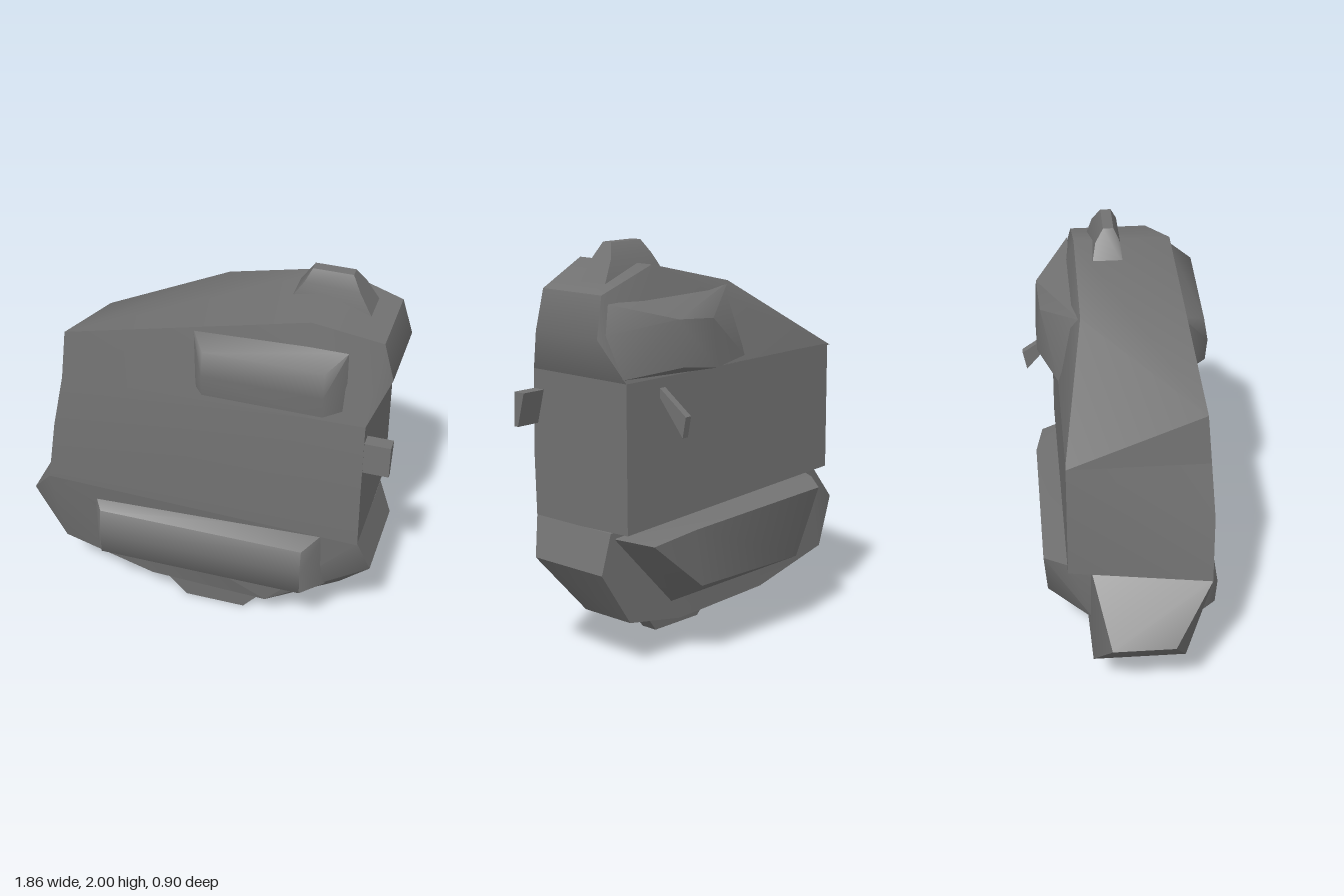
import * as THREE from 'three';
import { ConvexGeometry } from 'three/addons/geometries/ConvexGeometry.js';
import { toCreasedNormals } from 'three/addons/utils/BufferGeometryUtils.js';

const material = new THREE.MeshStandardMaterial({ color: 0x727272 });

// Solid from its corner points, smooth across edges flatter than the crease angle
function solid(name, corners, crease = 0.45) {
  const geometry = new ConvexGeometry(corners.map((c) => new THREE.Vector3(...c)));
  const mesh = new THREE.Mesh(toCreasedNormals(geometry, crease), material);
  mesh.name = name;
  return mesh;
}

// Corner pairs: each [x, y, zFront, zBack] gives a front and a back point
const pairs = (list) => list.flatMap(([x, y, f, b]) => [[x, y, f], [x, y, b]]);

// Padded bar on the front: [y, z] profile swept from left to right with tapered ends
function frontPad(name, x0, x1, profile, taper) {
  const last = profile.length - 1;
  return solid(name, profile.flatMap(([y, z], i) => {
    const inset = i === 0 || i === last ? 0 : taper;
    return [[x0 + inset, y, z], [x1 - inset, y, z]];
  }), 1.2);
}

export function createModel() {
  const group = new THREE.Group();

  // Body in three stacked blocks
  group.add(solid('upperBody', [
    ...pairs([
      [0.52, 1.9, 0.29, -0.18], [0.84, 1.79, 0.2, -0.18], [0.89, 1.6, 0.2, -0.2],
      [0.8, 1.4, 0.32, -0.29], [-0.66, 1.4, 0.37, -0.29],
    ]),
    [-0.64, 1.65, 0.35], [0, 1.78, -0.18], [-0.64, 1.41, -0.29],
  ], 0.7));
  group.add(solid('middleBody', [
    [-0.66, 1.4, 0.37], [-0.71, 1.12, 0.39], [-0.76, 0.78, 0.385], [0.21, 1.17, 0.36],
    [0.8, 1.4, 0.32], [0.8, 1.0, 0.33], [0.8, 0.68, 0.32],
    [-0.64, 1.41, -0.29], [-0.64, 0.77, -0.29], [0.8, 1.4, -0.29], [0.8, 0.7, -0.29],
  ]));
  group.add(solid('lowerBody', [
    ...pairs([
      [0.8, 0.69, 0.32, -0.18], [0.86, 0.5, 0.27, -0.18], [0.68, 0.23, 0.12, -0.18],
      [0.34, 0.17, 0.3, -0.18], [-0.26, 0.19, 0.3, -0.18], [-0.74, 0.3, 0.27, -0.18],
      [-0.93, 0.52, 0.2, -0.1],
    ]),
    [-0.76, 0.78, 0.385], [-0.64, 0.78, -0.18],
  ], 0.8));

  // Front pads
  group.add(frontPad('upperFrontPad', -0.03, 0.7,
    [[1.775, 0.3], [1.72, 0.41], [1.6, 0.43], [1.49, 0.42], [1.46, 0.3]], 0.08));
  group.add(frontPad('lowerFrontPad', -0.57, 0.64,
    [[0.7, 0.29], [0.66, 0.43], [0.53, 0.45], [0.4, 0.44], [0.34, 0.27]], 0.09));

  // Back pads
  group.add(solid('upperBackPad', [
    [0, 1.77, -0.18], [0, 1.43, -0.29], [0.3, 1.42, -0.38], [0.52, 1.45, -0.38],
    [0.3, 1.65, -0.36], [0.54, 1.67, -0.37], [0.82, 1.42, -0.29],
    [0.82, 1.75, -0.2], [0.87, 1.62, -0.235],
  ], 0.7));
  group.add(solid('lowerBackPad', [
    [-0.54, 0.73, -0.28], [-0.45, 0.71, -0.4], [0.46, 0.68, -0.4], [0.7, 0.64, -0.36],
    [0.78, 0.66, -0.17], [0.4, 0.39, -0.38], [-0.3, 0.38, -0.38],
    [-0.24, 0.3, -0.22], [0.4, 0.27, -0.18], [-0.58, 0.42, -0.17], [-0.6, 0.73, -0.17],
  ], 0.8));

  // Knob on top and foot below
  group.add(solid('topKnob', pairs([
    [0.36, 1.85, 0.05, -0.1], [0.76, 1.79, 0.06, -0.11], [0.42, 1.94, 0.04, -0.08],
    [0.68, 1.93, 0.04, -0.08], [0.45, 2, 0.01, -0.04], [0.64, 2, 0.01, -0.04],
  ]), 0.9));
  group.add(solid('foot', pairs([
    [-0.27, 0.2, 0.23, 0.1], [0.35, 0.19, 0.23, 0.1],
    [-0.11, 0, 0.21, 0.12], [0.2, 0, 0.21, 0.12],
  ])));

  // Small tab on the left side and fin on the back
  group.add(solid('sideTab', [0.78, 0.925].flatMap((x) => [
    [x, 1.305, 0.32], [x, 1.305, 0.255], [x, 1.14, 0.325], [x, 1.14, 0.3],
  ])));
  group.add(solid('backFin', [0.55, 0.585].flatMap((x) => [
    [x, 1.36, -0.28], [x, 1.32, -0.28], [x, 1.24, -0.45], [x, 1.14, -0.43],
  ])));

  return group;
}
